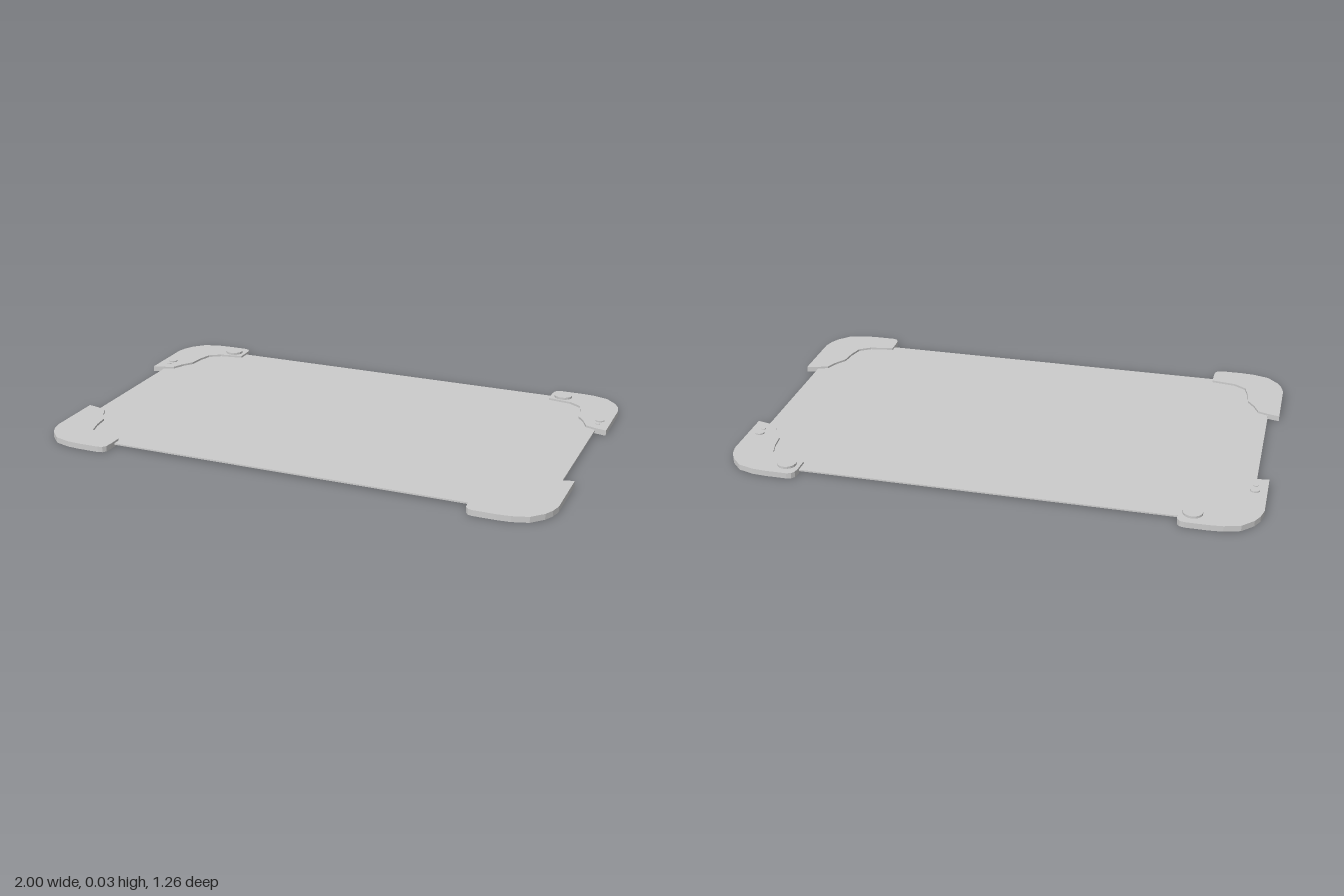
import * as THREE from 'three';

const material = new THREE.MeshStandardMaterial({ color: 0xcccccc, flatShading: true });

// Corner bracket outline as [|x|, |z|]: outer edge first, then the stepped inner edge
const outline = [
  [0.705, 0.585], [0.708, 0.612], [0.718, 0.625], [0.735, 0.63], [0.82, 0.63],
  [0.87, 0.626], [0.93, 0.608], [0.972, 0.565], [0.99, 0.53], [1, 0.49],
  [1, 0.26], [0.955, 0.27], [0.915, 0.285], [0.895, 0.33], [0.867, 0.37],
  [0.86, 0.43], [0.845, 0.485], [0.8, 0.515], [0.705, 0.53],
];
const bracketHeight = 0.022;

function addMesh(parent, name, geometry, x = 0, y = 0, z = 0) {
  const mesh = new THREE.Mesh(geometry, material);
  mesh.name = name;
  mesh.position.set(x, y, z);
  parent.add(mesh);
}

// Disc standing on top of a bracket
function addDisc(parent, name, radius, top, x, z, sides) {
  const base = bracketHeight - 0.004;
  addMesh(parent, name, new THREE.CylinderGeometry(radius, radius, top - base, sides), x, (top + base) / 2, z);
}

function bracketGeometry(sx, sz) {
  const shape = new THREE.Shape(outline.map(([x, z]) => new THREE.Vector2(x * sx, z * sz)));
  const geometry = new THREE.ExtrudeGeometry(shape, { depth: bracketHeight, bevelEnabled: false });
  return geometry.rotateX(Math.PI / 2).translate(0, bracketHeight, 0);
}

export function createModel() {
  const model = new THREE.Group();
  model.name = 'panel';

  // Thin sheet held between the brackets
  addMesh(model, 'plate', new THREE.BoxGeometry(1.91, 0.006, 1.14), 0, 0.011, -0.01);

  for (const sx of [-1, 1]) {
    const side = sx > 0 ? 'Left' : 'Right';
    for (const sz of [-1, 1]) {
      const corner = new THREE.Group();
      corner.name = (sz > 0 ? 'front' : 'back') + side + 'Corner';
      addMesh(corner, 'bracket', bracketGeometry(sx, sz));
      // Buttons and pegs sit on the back corners only
      if (sz < 0) {
        addDisc(corner, 'button', 0.036, 0.031, sx * 0.757, -0.565, 16);
        addDisc(corner, 'largePeg', 0.018, 0.027, sx * 0.955, -0.354, 12);
        addDisc(corner, 'smallPeg', 0.009, 0.025, sx * 0.955, -0.318, 10);
      }
      model.add(corner);
    }
  }
  return model;
}
